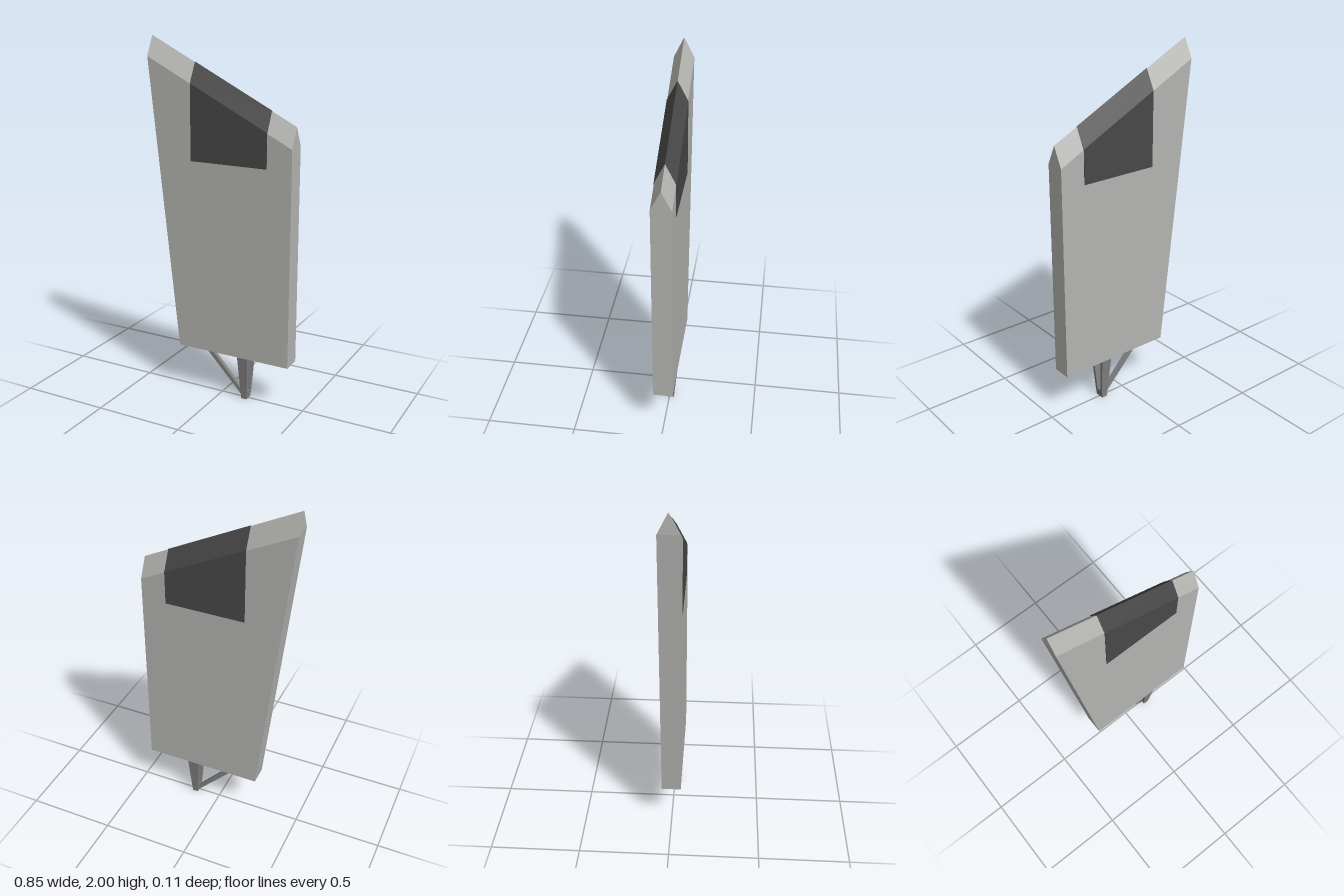
import * as THREE from 'three';

const material = (name, color) => Object.assign(new THREE.MeshStandardMaterial({ color }), { name });

// Closed solid between two cross-sections; the first runs counter-clockwise seen from outside.
function loft(a, b) {
  const pos = [];
  const tri = (...pts) => pts.forEach((p) => pos.push(...p));
  const n = a.length;
  for (let i = 0; i < n; i++) {
    const j = (i + 1) % n;
    tri(a[i], b[i], b[j]);
    tri(a[i], b[j], a[j]);
  }
  for (let i = 1; i < n - 1; i++) {
    tri(a[0], a[i], a[i + 1]);
    tri(b[0], b[i + 1], b[i]);
  }
  const geometry = new THREE.BufferGeometry();
  geometry.setAttribute('position', new THREE.Float32BufferAttribute(pos, 3));
  geometry.computeVertexNormals();
  return geometry;
}

// Five-sided section with a ridged top
const ridged = (topX, bottomX, bottomY, z, lift = 0) => {
  const apex = 2 - (topX + 0.428) * 0.503 + lift;
  const shoulder = apex - 0.108;
  return [
    [topX, shoulder, z], [topX, apex, 0], [topX, shoulder, -z],
    [bottomX, bottomY, -z], [bottomX, bottomY, z],
  ];
};

// Horizontal rectangle
const rect = (y, x0, x1, z0, z1) => [[x1, y, z1], [x1, y, z0], [x0, y, z0], [x0, y, z1]];

export function createModel() {
  const model = new THREE.Group();
  model.name = 'rudderBlade';
  const panelGrey = material('panelGrey', 0xb4b4b1);
  const patchDark = material('patchDark', 0x484848);
  const strutGrey = material('strutGrey', 0x828282);

  const add = (name, geometry, mat) => {
    const mesh = new THREE.Mesh(geometry, mat);
    mesh.name = name;
    model.add(mesh);
  };

  // Slanted panel with a bevelled upper edge
  add('panel', loft(ridged(-0.428, -0.25, 0.26, 0.054), ridged(0.426, 0.426, 0.26, 0.054)), panelGrey);

  // Dark patch wrapped over the upper edge
  add('darkPatch', loft(
    ridged(-0.165, -0.165, 1.347, 0.056, 0.003),
    ridged(0.286, 0.286, 1.347, 0.056, 0.003),
  ), patchDark);

  // Foot block and the pair of tapering legs above it
  add('foot', loft(rect(0.045, 0.13, 0.17, -0.029, 0.029), rect(0, 0.134, 0.166, -0.026, 0.026)), strutGrey);
  for (const s of [1, -1]) {
    const span = (inner, outer) => (s > 0 ? [inner, outer] : [-outer, -inner]);
    add(s > 0 ? 'frontLeg' : 'backLeg', loft(
      rect(0.262, 0.118, 0.182, ...span(0.034, 0.051)),
      rect(0.04, 0.13, 0.17, ...span(0.012, 0.029)),
    ), strutGrey);
  }

  // Diagonal brace
  add('brace', loft(
    rect(0.265, -0.112, -0.076, -0.012, 0.012),
    rect(0.01, 0.132, 0.16, -0.012, 0.012),
  ), strutGrey);

  return model;
}
